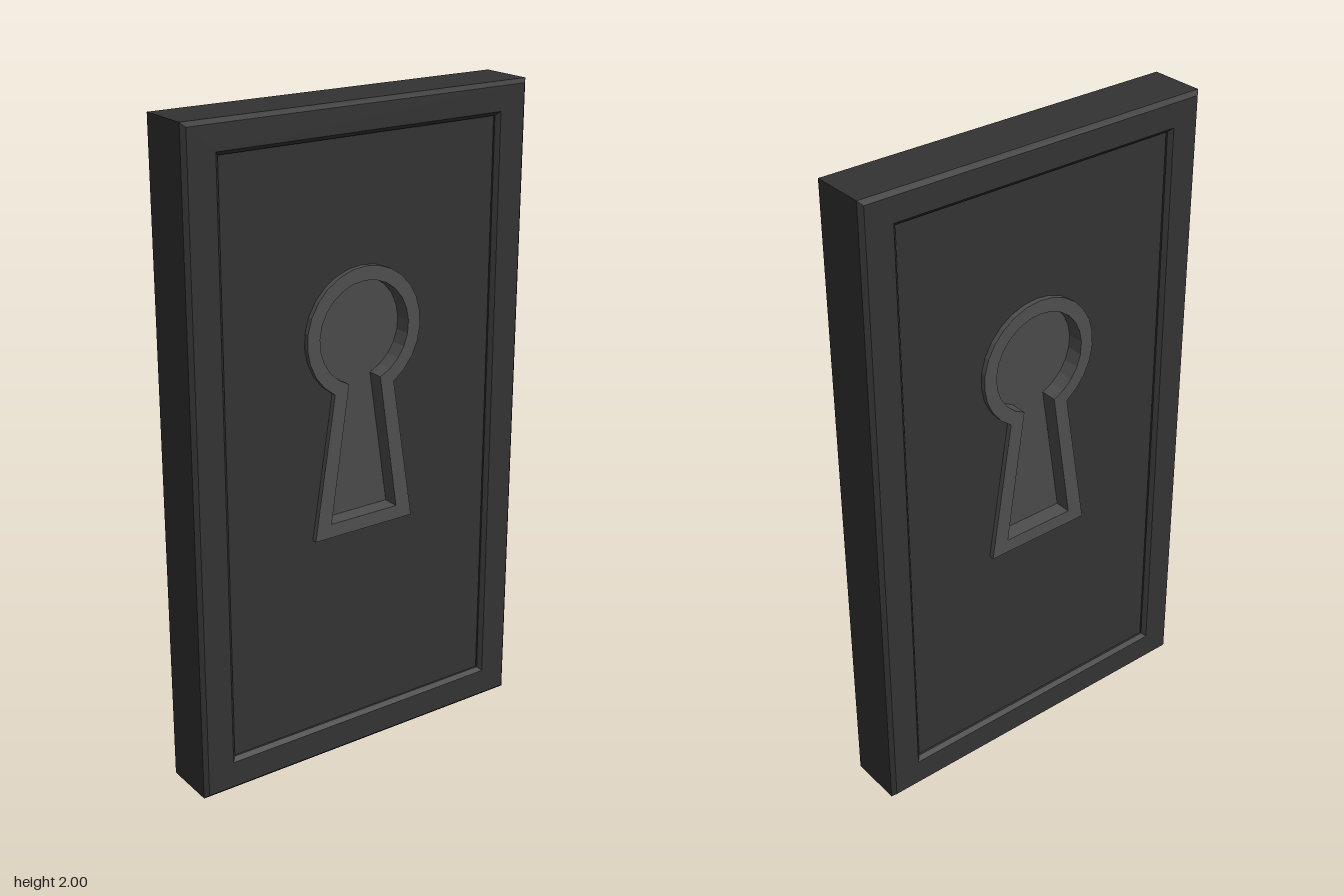
import * as THREE from 'three';

const CENTER_Y = 1.34; // centre of the keyhole's round part
const PANEL_X = 0.078, RIM_X = 0.094, FLOOR_X = 0.042;

const mat = (color) => new THREE.MeshStandardMaterial({ color, flatShading: true });

function rectPoints(halfWidth, y0, y1) {
  return [[-halfWidth, y0], [halfWidth, y0], [halfWidth, y1], [-halfWidth, y1]]
    .map(([x, y]) => new THREE.Vector2(x, y));
}

// Keyhole outline: an arc closed by a flaring skirt
function keyholePoints(radius, neck, foot, footY, steps = 22) {
  const gap = Math.asin(neck / radius);
  const start = -Math.PI / 2 + gap, sweep = Math.PI * 2 - gap * 2;
  const pts = [new THREE.Vector2(-foot, footY), new THREE.Vector2(foot, footY)];
  for (let i = 0; i <= steps; i++) {
    const a = start + (sweep * i) / steps;
    pts.push(new THREE.Vector2(Math.cos(a) * radius, CENTER_Y + Math.sin(a) * radius));
  }
  return pts;
}

// Plate with an opening, extruded from z0 to z1
function plate(outer, hole, z0, z1, bevel = 0) {
  const shape = new THREE.Shape(outer);
  if (hole) shape.holes.push(new THREE.Path(hole));
  const geo = new THREE.ExtrudeGeometry(shape, {
    depth: z1 - z0 - bevel * 2, bevelEnabled: bevel > 0, bevelSegments: 1,
    bevelSize: bevel, bevelThickness: bevel, bevelOffset: -bevel,
  });
  return geo.translate(0, 0, z0 + bevel);
}

function part(name, geo, material) {
  const mesh = new THREE.Mesh(geo, material);
  mesh.name = name;
  return mesh;
}

export function createModel() {
  const model = new THREE.Group();
  model.name = 'keyholeDoor';
  const dark = mat(0x333333), rimGrey = mat(0x4e4e4e), floorGrey = mat(0x494949);

  // Chamfered surround, running through the full thickness
  const frame = plate(rectPoints(0.57, 0, 2), rectPoints(0.461, 0.106, 1.903), -0.096, 0.096, 0.012);
  model.add(part('frame', frame.rotateY(Math.PI / 2), dark));

  const outer = keyholePoints(0.196, 0.103, 0.173, 0.731);
  const inner = keyholePoints(0.154, 0.055, 0.117, 0.774);

  // Both broad faces carry the same recessed panel and keyhole
  for (const side of [1, -1]) {
    const face = new THREE.Group();
    face.name = side > 0 ? 'leftFace' : 'rightFace';
    face.add(
      part('panel', plate(rectPoints(0.465, 0.1, 1.908), outer, FLOOR_X, PANEL_X), dark),
      part('keyholeRim', plate(outer, inner, FLOOR_X - 0.005, RIM_X), rimGrey),
      part('keyholeFloor', plate(outer, null, 0, FLOOR_X), floorGrey),
    );
    face.rotation.y = (side * Math.PI) / 2;
    model.add(face);
  }
  return model;
}
